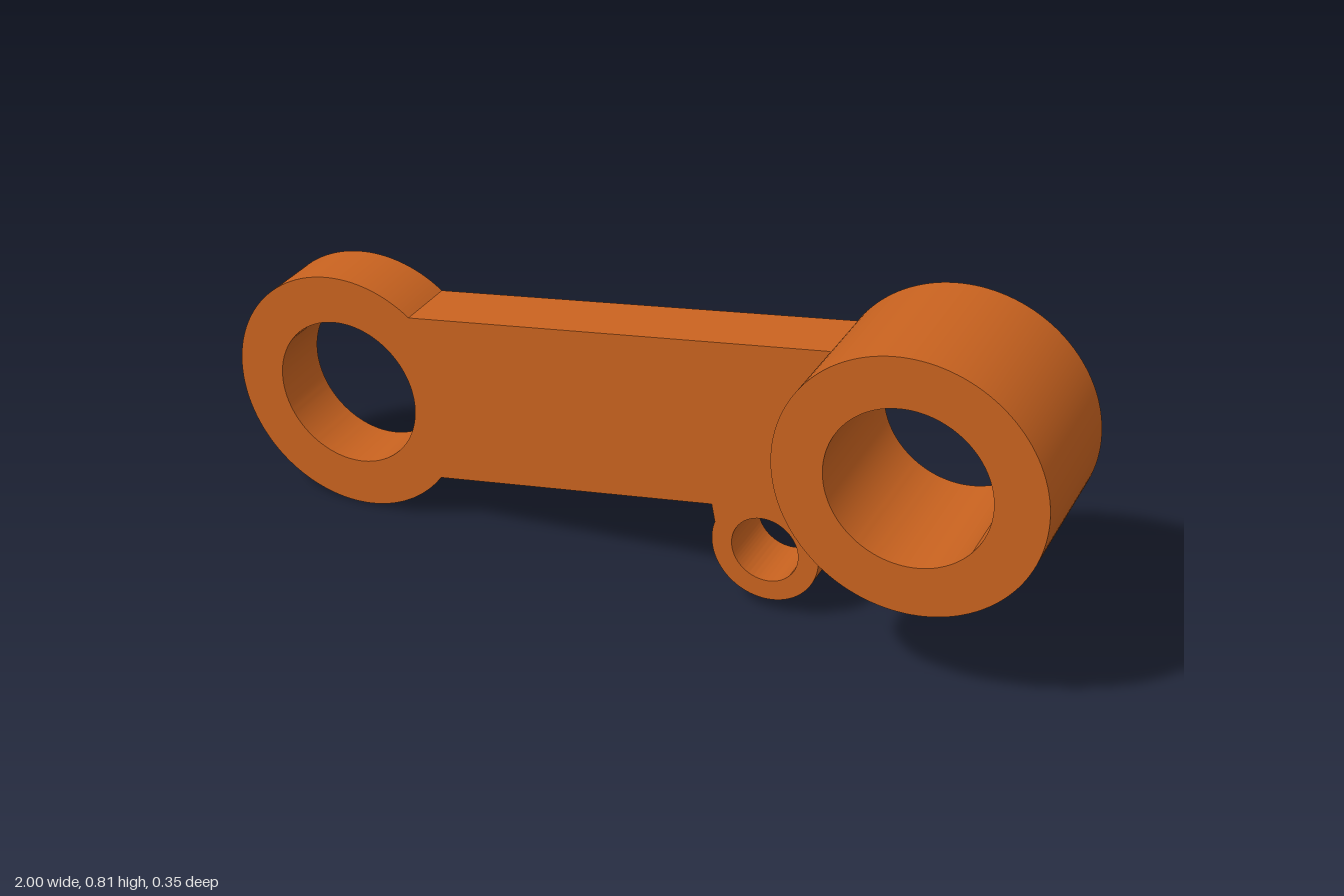
import * as THREE from 'three';
import { toCreasedNormals } from 'three/addons/utils/BufferGeometryUtils.js';

const BACK = -0.175, PLATE_FRONT = -0.025, BOSS_FRONT = 0.175;
const RING = 0.29, BORE = 0.178;
const rad = THREE.MathUtils.degToRad;

export function createModel() {
  const group = new THREE.Group();
  const orange = new THREE.MeshStandardMaterial({ color: 0xc8621f });
  orange.name = 'burnt orange';

  const addHole = (shape, x, y, r) =>
    shape.holes.push(new THREE.Path().absarc(x, y, r, 0, Math.PI * 2, true));

  const addPart = (name, shape, front) => {
    const geometry = new THREE.ExtrudeGeometry(shape, {
      depth: front - BACK, bevelEnabled: false, curveSegments: 64,
    });
    geometry.translate(0, 0, BACK);
    const mesh = new THREE.Mesh(toCreasedNormals(geometry, 0.3), orange);
    mesh.name = name;
    group.add(mesh);
  };

  // thin link plate: end ring, arm and small lug on one outline
  const link = new THREE.Shape();
  link.absarc(-0.71, 0.293, RING, rad(53.5), rad(325.4), false);
  link.lineTo(0.207, 0.242);
  link.absarc(0.334, 0.16, 0.125, rad(161.6), rad(397), false);
  link.lineTo(0.427, 0.278);
  // far end tucks just inside the thick ring
  link.absarc(0.71, 0.525, RING - 0.015, rad(233.5), rad(145.5), true);
  link.closePath();
  addHole(link, -0.71, 0.293, BORE);
  addHole(link, 0.334, 0.16, 0.078);
  addPart('linkArm', link, PLATE_FRONT);

  // thick bearing ring
  const boss = new THREE.Shape().absarc(0.71, 0.525, RING, 0, Math.PI * 2, false);
  addHole(boss, 0.71, 0.525, BORE);
  addPart('bearingRing', boss, BOSS_FRONT);

  return group;
}
